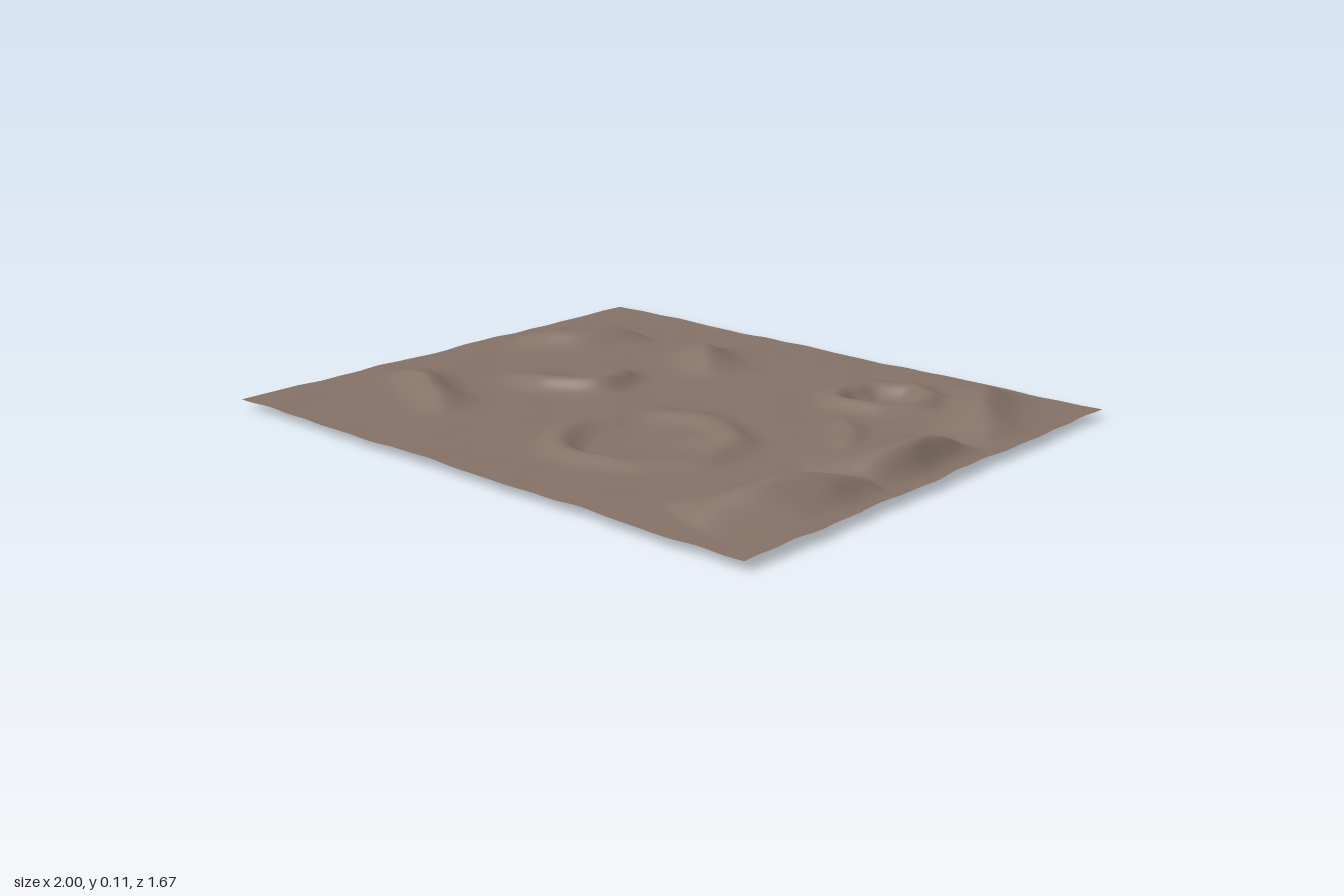
import * as THREE from 'three';

const BASE = 0.029, HALF_X = 0.993, HALF_Z = 0.83;
const smooth = THREE.MathUtils.smoothstep;

// Dunes: crest points as [x, z], height, and the widths of the gentle (left of travel) and steep (right) slopes
const dunes = [
  { crest: [[-0.92, -0.25], [-0.74, -0.28], [-0.65, -0.4], [-0.6, -0.55]], height: 0.052, gentle: 0.15, steep: 0.065 },
  { crest: [[-0.38, -0.55], [-0.27, -0.47], [-0.19, -0.39], [-0.09, -0.31]], height: 0.055, gentle: 0.09, steep: 0.06 },
  { crest: [[-0.6, 0.1], [-0.38, 0.11], [-0.26, 0.03], [-0.27, -0.08], [-0.38, -0.18]], height: 0.046, gentle: 0.11, steep: 0.045 },
  { crest: [[-0.88, 0.3], [-0.72, 0.36], [-0.58, 0.43], [-0.4, 0.52]], height: 0.05, gentle: 0.08, steep: 0.055 },
  { crest: [[0.72, 0.72], [0.8, 0.5], [0.87, 0.35], [0.94, 0.2]], height: 0.08, gentle: 0.11, steep: 0.08 },
  { crest: [[0.8, 0.27], [0.86, 0.14], [0.89, 0], [0.88, -0.25]], height: 0.08, gentle: 0.14, steep: 0.06 },
  { crest: [[0.62, -0.8], [0.72, -0.63], [0.81, -0.47], [0.93, -0.31]], height: 0.056, gentle: 0.08, steep: 0.08 },
  { crest: [[0.48, -0.24], [0.58, -0.14], [0.66, -0.02], [0.74, 0.14]], height: 0.02, gentle: 0.05, steep: 0.04 }
].map((d) => {
  const curve = new THREE.CatmullRomCurve3(d.crest.map(([x, z]) => new THREE.Vector3(x, 0, z)));
  return { ...d, points: curve.getSpacedPoints(28) };
});

// Craters: sunken floor inside a raised rim
const craters = [
  { x: 0.2, z: 0.3, radius: 0.25, floor: -0.013, rim: 0.021, width: 0.045 },
  { x: 0.45, z: -0.48, radius: 0.145, floor: -0.026, rim: 0.026, width: 0.04 }
];

// Gentle layered ripples
function ripple(x, z) {
  return 0.0012 * Math.sin(9 * x + 5 * z + 2 * Math.sin(4 * z)) +
    0.001 * Math.sin(17 * z - 8 * x + 1.5 * Math.sin(11 * x)) +
    0.0007 * Math.sin(31 * x + 19 * z) * Math.sin(27 * z - 13 * x);
}

function duneHeight(d, x, z) {
  let best = Infinity, index = 0;
  d.points.forEach((p, i) => {
    const dist = (x - p.x) ** 2 + (z - p.z) ** 2;
    if (dist < best) { best = dist; index = i; }
  });
  // Exact distance to the two neighbouring segments, and the side of the crest
  let near = Infinity, along = 0, side = 0;
  for (let i = Math.max(0, index - 1); i <= Math.min(index, d.points.length - 2); i++) {
    const a = d.points[i], b = d.points[i + 1];
    const tx = b.x - a.x, tz = b.z - a.z, dx = x - a.x, dz = z - a.z;
    const t = THREE.MathUtils.clamp((dx * tx + dz * tz) / (tx * tx + tz * tz), 0, 1);
    const dist = Math.hypot(dx - t * tx, dz - t * tz);
    if (dist < near) {
      near = dist;
      along = (i + t) / (d.points.length - 1);
      side = tx * dz - tz * dx;
    }
  }
  const width = side > 0 ? d.steep : d.gentle;
  const taper = Math.pow(Math.sin(Math.PI * along), 0.75);
  return d.height * taper * Math.exp(-Math.pow(near / width, 1.7));
}

function heightAt(x, z) {
  const hills = dunes.map((d) => duneHeight(d, x, z));
  let y = Math.pow(hills.reduce((sum, h) => sum + h ** 4, 0), 0.25);
  for (const c of craters) {
    const angle = Math.atan2(z - c.z, x - c.x);
    const radius = c.radius * (1 + 0.03 * Math.sin(3 * angle + 1) + 0.02 * Math.sin(7 * angle));
    const r = Math.hypot(x - c.x, z - c.z);
    const inside = 1 - smooth(r, radius - 0.09, radius - 0.01);
    // The rim is lower towards one side
    const rim = c.rim * (0.85 + 0.25 * Math.sin(angle + 0.6));
    y = y * (1 - 0.8 * inside) + c.floor * inside + rim * Math.exp(-(((r - radius) / c.width) ** 2));
  }
  // Low spur inside the large crater
  const s = Math.hypot((x - 0.33) * 0.9, (z - 0.17) * 1.3);
  y += 0.016 * Math.exp(-((s / 0.09) ** 2));
  // Level out at the border
  const edge = smooth(HALF_X - Math.abs(x), 0, 0.1) * smooth(HALF_Z - Math.abs(z), 0, 0.1);
  return Math.max(0, BASE + y * edge + ripple(x, z));
}

export function createModel() {
  const group = new THREE.Group();
  group.name = 'terrain';
  const soil = new THREE.MeshStandardMaterial({ color: 0x857267, side: THREE.DoubleSide });
  soil.name = 'brown soil';

  // Ground sheet with a slightly uneven outline
  const geometry = new THREE.PlaneGeometry(2 * HALF_X, 2 * HALF_Z, 180, 150);
  geometry.rotateX(-Math.PI / 2);
  const pos = geometry.attributes.position;
  for (let i = 0; i < pos.count; i++) {
    const x = pos.getX(i), z = pos.getZ(i);
    const driftX = 0.003 * Math.sin(13 * z + 1) + 0.002 * Math.sin(37 * z);
    const driftZ = 0.003 * Math.sin(11 * x) + 0.002 * Math.sin(33 * x + 2);
    pos.setXYZ(i, x + driftX, heightAt(x, z), z + driftZ);
  }
  geometry.computeVertexNormals();
  const ground = new THREE.Mesh(geometry, soil);
  ground.name = 'ground';
  group.add(ground);
  return group;
}
